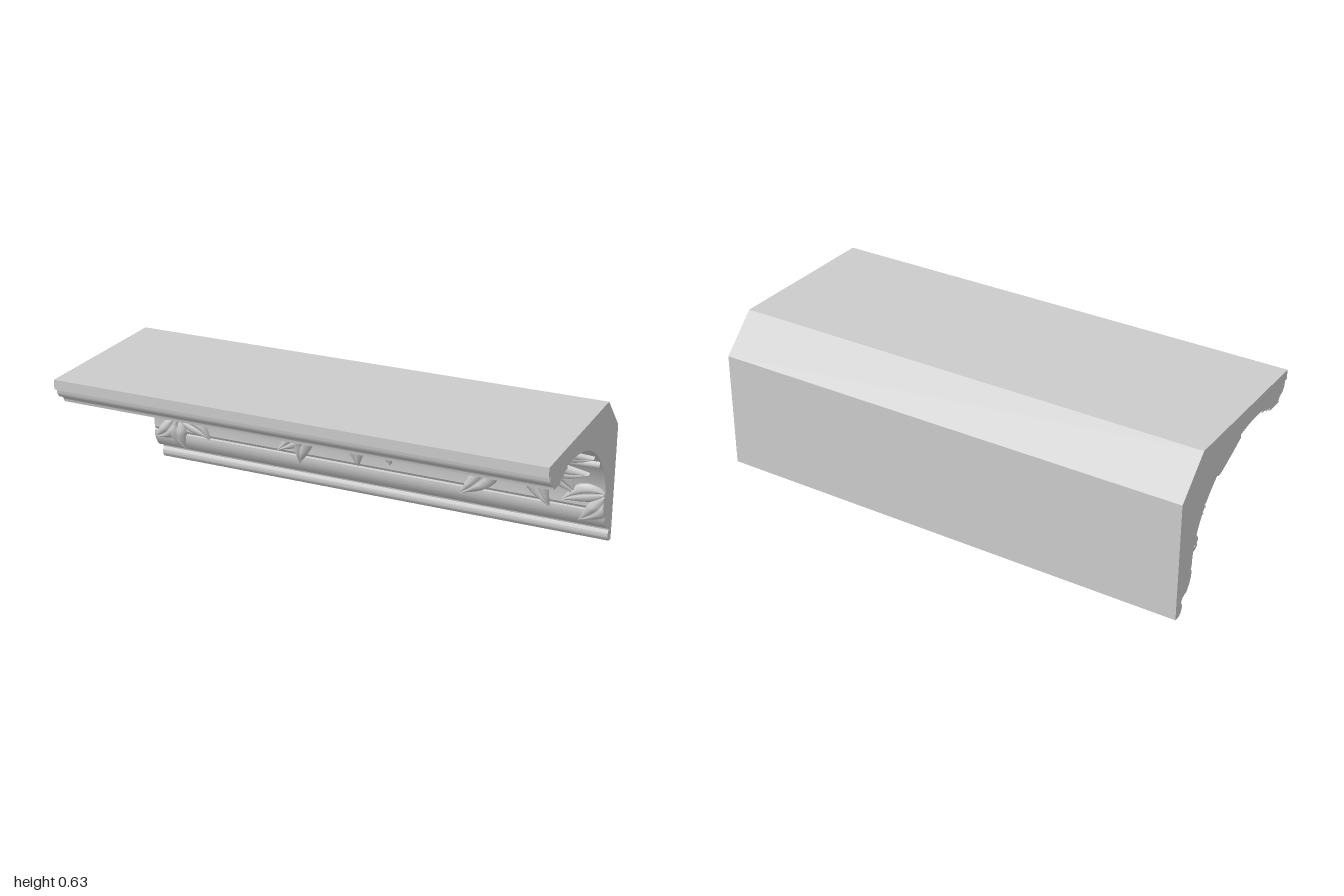
import * as THREE from 'three';
import { toCreasedNormals } from 'three/addons/utils/BufferGeometryUtils.js';

const RAD = Math.PI / 180;
const DEG_LEN = 0.0075; // length of one degree along the cove

// Point on the cove: x along the moulding, deg from wall (0) to ceiling (90), h lift off the surface
function onCove(x, deg, h = 0) {
  const a = deg * RAD, c = Math.max(a, 0);
  const y = 0.17 + 0.385 * (a < 0 ? a : Math.sin(a));
  const z = a < 0 ? -0.31 + 0.12 * a : 0.16 - 0.47 * Math.cos(a);
  return new THREE.Vector3(THREE.MathUtils.clamp(x, -1, 1), y - h * Math.sin(c), z + h * Math.cos(c));
}

// Solid moulding: outline drawn as (-z, y), swept along x
function mouldingGeometry() {
  const s = new THREE.Shape();
  s.moveTo(0.415, 0);
  s.lineTo(0.415, 0.485);
  s.lineTo(0.27, 0.628);
  s.lineTo(-0.415, 0.628);
  s.lineTo(-0.415, 0.588);
  s.lineTo(-0.4, 0.588);
  // curved lip under the ceiling edge
  s.quadraticCurveTo(-0.4, 0.553, -0.375, 0.545);
  s.quadraticCurveTo(-0.353, 0.537, -0.353, 0.518);
  // small steps into the cove
  s.lineTo(-0.28, 0.518);
  for (let i = 0; i < 3; i++) {
    s.lineTo(-0.28 + i * 0.035, 0.533 + i * 0.011);
    s.lineTo(-0.245 + i * 0.035, 0.533 + i * 0.011);
  }
  s.lineTo(-0.16, 0.555);
  s.absellipse(-0.16, 0.17, 0.47, 0.385, Math.PI / 2, 0, true);
  // lower torus band and bottom bead
  s.lineTo(0.318, 0.158);
  s.lineTo(0.308, 0.155);
  s.quadraticCurveTo(0.304, 0.115, 0.34, 0.077);
  s.quadraticCurveTo(0.376, 0.073, 0.376, 0.053);
  s.absarc(0.4, 0.031, 0.031, 135 * RAD, 270 * RAD, false);
  const geo = new THREE.ExtrudeGeometry(s, { depth: 2, bevelEnabled: false, curveSegments: 14 });
  geo.translate(0, 0, -1).rotateY(Math.PI / 2);
  return toCreasedNormals(geo, 0.55);
}

// Raised leaf on the cove: base, direction and length, with grooved midrib and steep rim
const ACROSS = [-1, -0.96, -0.55, -0.12, 0, 0.12, 0.55, 0.96, 1];
const RISE = [-0.2, 0.5, 1, 0.85, 0.5, 0.85, 1, 0.5, -0.2];
function leafGeometry(x, deg, angle, length, halfWidth, height, bend) {
  const c = Math.cos(angle), s = Math.sin(angle), rows = 14, cols = ACROSS.length;
  const pos = [], index = [];
  for (let i = 0; i <= rows; i++) {
    const u = i / rows, arch = Math.sin(Math.PI * u);
    const w = halfWidth * Math.sin(Math.PI * Math.pow(u, 0.75)) + 0.002;
    for (let j = 0; j < cols; j++) {
      const off = ACROSS[j] * w + bend * arch;
      const h = RISE[j] * height * (0.55 + 0.45 * arch);
      const p = onCove(x + c * length * u - s * off, deg + (s * length * u + c * off) / DEG_LEN, h);
      pos.push(p.x, p.y, p.z);
      if (i < rows && j < cols - 1) {
        const a = i * cols + j, b = a + cols;
        index.push(a, b, a + 1, b, b + 1, a + 1);
      }
    }
  }
  const geo = new THREE.BufferGeometry();
  geo.setAttribute('position', new THREE.Float32BufferAttribute(pos, 3));
  geo.setIndex(index);
  geo.computeVertexNormals();
  return geo;
}

// Vine following a path of (x, degree) points over the cove
function vineGeometry(path, radius) {
  const flat = new THREE.SplineCurve(path.map(([x, d]) => new THREE.Vector2(x, d)));
  const pts = flat.getPoints(40).map((p) => onCove(p.x, p.y, 0.006));
  return new THREE.TubeGeometry(new THREE.CatmullRomCurve3(pts), 60, radius, 8);
}

// Vine paths, the first three thicker
const VINES = [
  [[-1, 35], [-0.8, 28], [-0.58, 37], [-0.36, 49], [0.12, 64]],
  [[-0.6, 36], [-0.25, 31], [-0.02, 36], [0.15, 50]],
  [[0.1, 47], [0.3, 37], [0.6, 25], [0.78, 33], [1, 36]],
  [[-1, 31], [-0.86, 25], [-0.6, 37]],
  [[-0.7, 30], [-0.74, 18], [-0.86, 12], [-0.9, 0]],
  [[0.2, 43], [0.4, 36], [0.76, 47], [0.9, 62]],
  [[0.36, 34], [0.42, 22], [0.55, 17], [0.68, 22]],
];

// Leaf fans: x, degree, first and last direction, leaf count, leaf length
const FANS = [
  [-0.02, 29, -95, 60, 5, 0.2], [-0.22, 29, -153, -108, 3, 0.26],
  [-0.22, 46, 100, 165, 3, 0.22], [-0.06, 60, 30, 150, 4, 0.24],
  [0.58, 24, -160, -128, 2, 0.27], [0.7, 27, -72, -5, 3, 0.22],
  [0.76, 44, 0, 130, 3, 0.2], [0.82, 62, 50, 160, 3, 0.23],
  [-0.88, 10, -185, -30, 4, 0.15], [-0.97, 46, 60, 110, 2, 0.2],
  [-0.74, 25, -155, -20, 2, 0.15], [1.03, 12, -160, -130, 2, 0.19],
];

// Blossoms of one cluster: x offset, degree, radius
const CLUSTER = [[0, 54, 0.1], [-0.11, 68, 0.09], [0.09, 73, 0.09], [-0.02, 91, 0.1]];

export function createModel() {
  const model = new THREE.Group();
  const solid = new THREE.MeshStandardMaterial({ color: 0xcccccc });
  const thin = new THREE.MeshStandardMaterial({ color: 0xcccccc, side: THREE.DoubleSide });
  const add = (geo, name, parent, mat) => {
    const mesh = new THREE.Mesh(geo, mat);
    mesh.name = name;
    parent.add(mesh);
    return mesh;
  };
  const group = (name) => {
    const g = new THREE.Group();
    g.name = name;
    model.add(g);
    return g;
  };

  add(mouldingGeometry(), 'corniceMoulding', model, solid);

  const vines = group('vines');
  VINES.forEach((path, i) => add(vineGeometry(path, i < 3 ? 0.016 : 0.012), 'vine', vines, solid));

  for (const [x, deg, from, to, count, length] of FANS) {
    const fan = group('leafFan');
    for (let i = 0; i < count; i++) {
      const angle = THREE.MathUtils.lerp(from, to, i / (count - 1)) * RAD;
      const bx = x + 0.025 * Math.cos(angle), bd = deg + 0.025 * Math.sin(angle) / DEG_LEN;
      const bend = i % 2 ? 0.018 : -0.018;
      add(leafGeometry(bx, bd, angle, length, 0.025 + length * 0.095, 0.026, bend), 'leaf', fan, thin);
    }
  }

  // Blossoms: two rings of rounded petals around a bead
  for (const centre of [-0.73, 0.35]) {
    for (const [dx, deg, radius] of CLUSTER) {
      const blossom = group('blossom');
      for (let i = 0; i < 12; i++) {
        const inner = i % 2, r = radius * (inner ? 0.6 : 1);
        const angle = i * 30 * RAD;
        add(leafGeometry(centre + dx, deg, angle, r, r * 0.4, inner ? 0.042 : 0.028, 0), 'petal', blossom, thin);
      }
      const bead = add(new THREE.SphereGeometry(0.02, 14, 10), 'blossomCentre', blossom, solid);
      bead.position.copy(onCove(centre + dx, deg, 0.03));
    }
  }
  return model;
}
